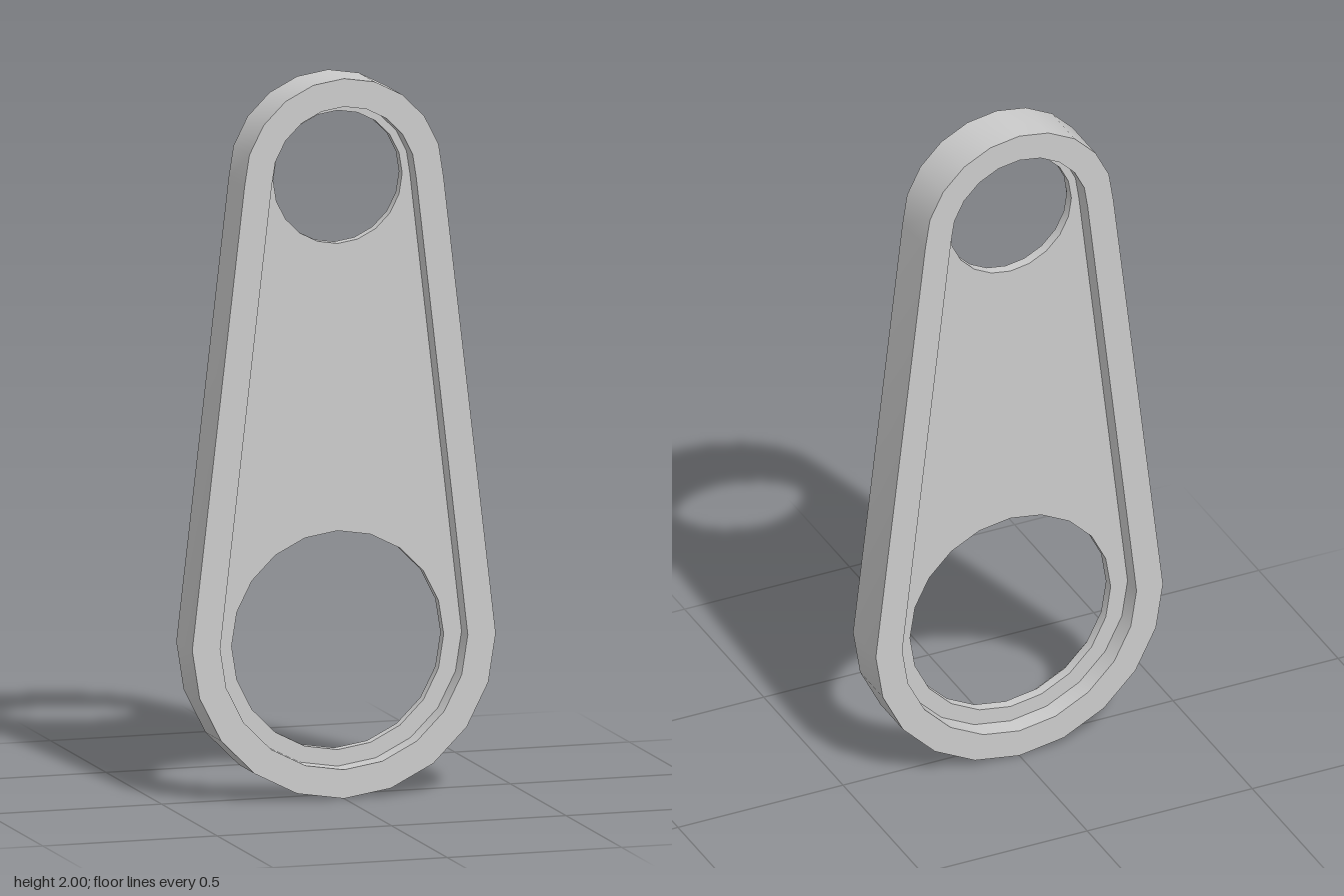
import * as THREE from 'three';
import { toCreasedNormals } from 'three/addons/utils/BufferGeometryUtils.js';

const LOW_Y = 0.435, HIGH_Y = 1.715;   // centres of the two rounded ends
const SEGMENTS = 20;                   // sides per full circle

// Points along a faceted arc
function arc(cy, r, start, steps) {
  return Array.from({ length: steps }, (_, i) => {
    const a = start + (i * 2 * Math.PI) / SEGMENTS;
    return new THREE.Vector2(r * Math.cos(a), cy + r * Math.sin(a));
  });
}

// Tapered link outline: half circle at each end, straight flanks between
function outline(lowR, highR) {
  const half = SEGMENTS / 2 + 1;
  return [...arc(LOW_Y, lowR, Math.PI, half), ...arc(HIGH_Y, highR, 0, half)];
}

// Flat plate centred on z = 0, with holes
function plate(name, points, holes, depth, material) {
  const shape = new THREE.Shape(points);
  holes.forEach((h) => shape.holes.push(new THREE.Path(h)));
  const geo = new THREE.ExtrudeGeometry(shape, { depth, bevelEnabled: false });
  geo.translate(0, 0, -depth / 2);
  const mesh = new THREE.Mesh(toCreasedNormals(geo, Math.PI / 6), material);
  mesh.name = name;
  return mesh;
}

export function createModel() {
  const group = new THREE.Group();
  group.name = 'linkPlate';
  const grey = new THREE.MeshStandardMaterial({ color: 0xcccccc });
  const inner = outline(0.355, 0.207);

  // Raised rim around the edge
  group.add(plate('rim', outline(0.435, 0.285), [inner], 0.144, grey));

  // Thin recessed web with a large and a small hole
  const holes = [arc(0.43, 0.304, 0, SEGMENTS), arc(1.717, 0.185, 0, SEGMENTS)];
  group.add(plate('web', inner, holes, 0.03, grey));

  return group;
}
